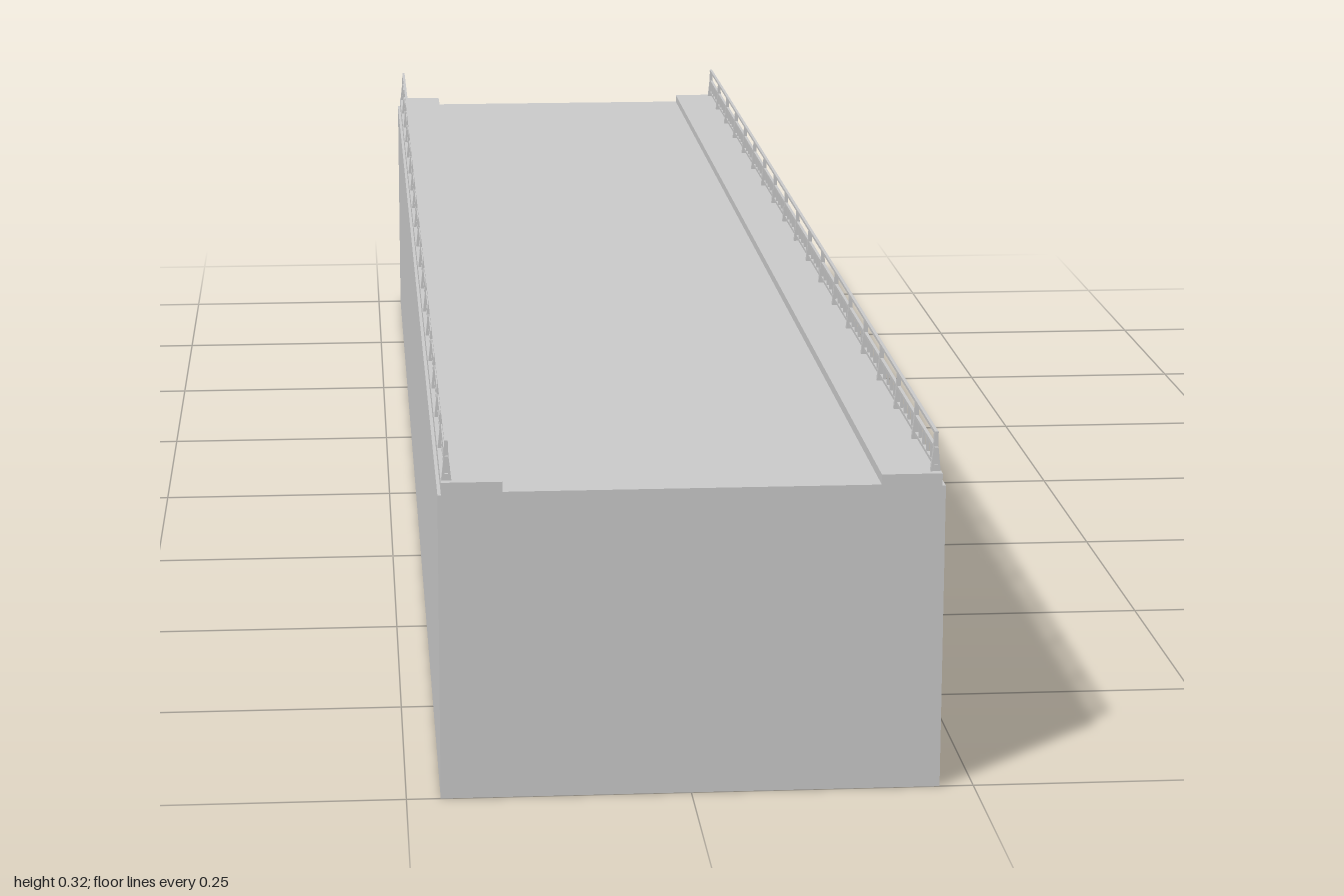
import * as THREE from 'three';

const material = new THREE.MeshStandardMaterial({ color: 0xcccccc, flatShading: true });

function box(name, w, h, d, x, y, z) {
  const mesh = new THREE.Mesh(new THREE.BoxGeometry(w, h, d), material);
  mesh.name = name;
  mesh.position.set(x, y, z);
  return mesh;
}

// Post profile: wide foot, narrow neck, slim top
function postGeometry(depth) {
  const half = [[0.0045, 0], [0.0035, 0.009], [0.002, 0.023], [0.0015, 0.037]];
  const shape = new THREE.Shape([
    ...half.map(([x, y]) => new THREE.Vector2(x, y)),
    ...half.slice().reverse().map(([x, y]) => new THREE.Vector2(-x, y)),
  ]);
  return new THREE.ExtrudeGeometry(shape, { depth, bevelEnabled: false }).translate(0, 0, -depth / 2);
}

function createRailing(x, deckY) {
  const railing = new THREE.Group();
  railing.name = 'railing';
  railing.position.set(x, deckY, 0);

  // Long horizontal rails
  railing.add(box('topRail', 0.003, 0.003, 1.99, 0, 0.0355, 0));
  railing.add(box('middleRail', 0.003, 0.003, 1.99, 0, 0.0215, 0));
  railing.add(box('bottomRail', 0.003, 0.003, 1.99, 0, 0.006, 0));

  // Main posts with short balusters in each bay
  const bays = 18, span = 1.98, step = span / bays, perBay = 5;
  const geometry = postGeometry(0.005);
  for (let i = 0; i <= bays; i++) {
    const z = -span / 2 + i * step;
    const post = new THREE.Mesh(geometry, material);
    post.name = 'post';
    post.position.z = z;
    railing.add(post);
    if (i === bays) break;
    for (let j = 1; j < perBay; j++) {
      railing.add(box('baluster', 0.0025, 0.0155, 0.004, 0, 0.0138, z + (j * step) / perBay));
    }
  }
  return railing;
}

export function createModel() {
  const bridge = new THREE.Group();
  bridge.name = 'bridgeSection';

  // Solid body and thin road surface
  bridge.add(box('body', 0.44, 0.275, 2, 0, 0.1375, 0));
  bridge.add(box('road', 0.33, 0.002, 2, 0, 0.276, 0));

  // Raised pavements and railings on both sides
  for (const side of [-1, 1]) {
    bridge.add(box('pavement', 0.053, 0.011, 2, side * 0.1905, 0.2805, 0));
    bridge.add(createRailing(side * 0.212, 0.285));
  }
  return bridge;
}
